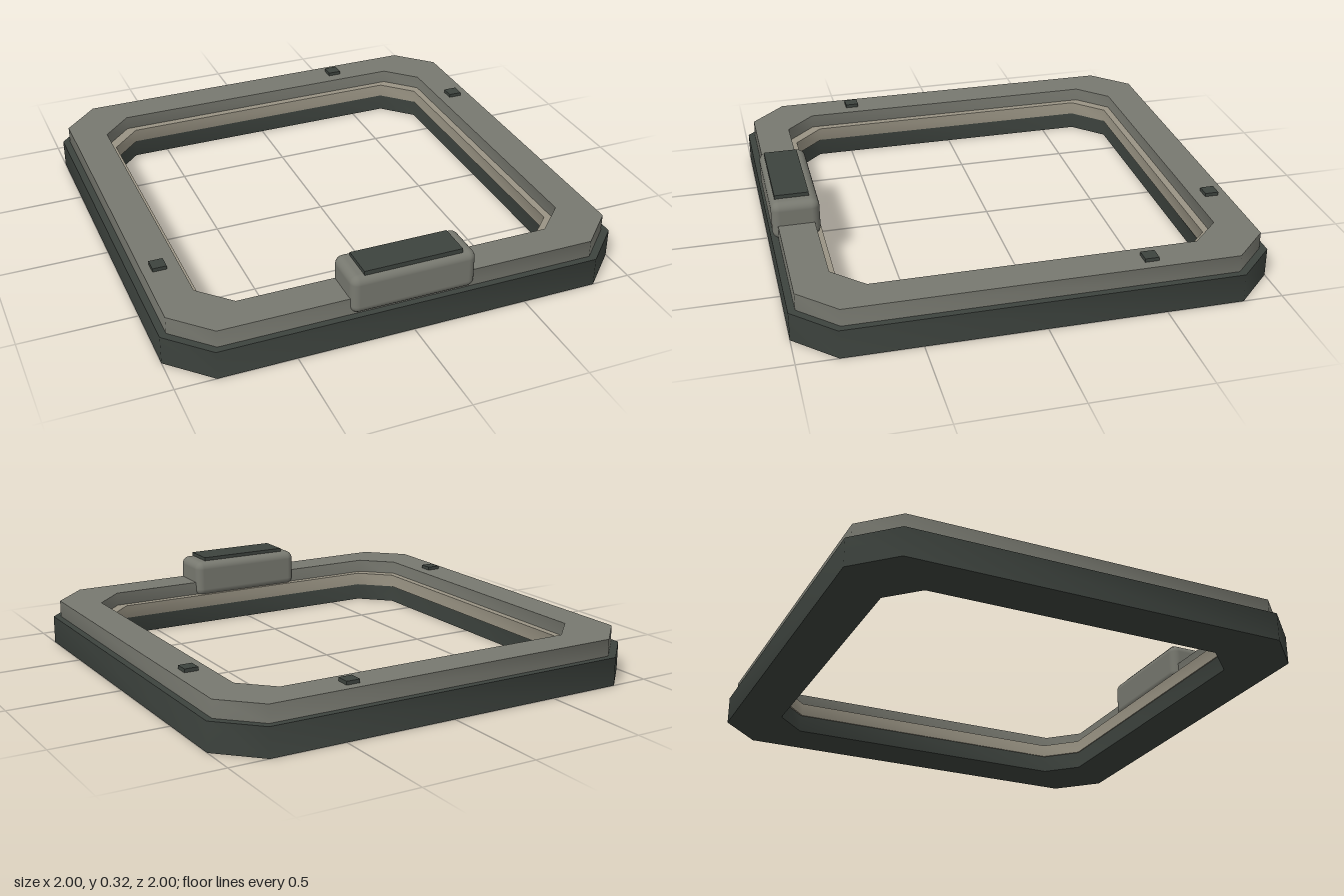
import * as THREE from 'three';
import { toCreasedNormals } from 'three/addons/utils/BufferGeometryUtils.js';
import { RoundedBoxGeometry } from 'three/addons/geometries/RoundedBoxGeometry.js';

const dark = new THREE.MeshStandardMaterial({ color: 0x3d433e });
const grey = new THREE.MeshStandardMaterial({ color: 0x787970 });
const beige = new THREE.MeshStandardMaterial({ color: 0x9a9484 });

// Square outline of half-width r with corners cut by c
function octagon(r, c) {
  const k = r - c;
  return [[k, -r], [r, -k], [r, k], [k, r], [-k, r], [-r, k], [-r, -k], [-k, -r]]
    .map(([x, y]) => new THREE.Vector2(x, y));
}

// Flat ring between two cut-corner outlines, standing from y0 to y1
function ring(name, outer, outerCut, inner, innerCut, y0, y1, material) {
  const shape = new THREE.Shape(octagon(outer, outerCut));
  shape.holes.push(new THREE.Path(octagon(inner, innerCut).reverse()));
  const geo = new THREE.ExtrudeGeometry(shape, { depth: y1 - y0, bevelEnabled: false });
  geo.rotateX(-Math.PI / 2).translate(0, y0, 0);
  const mesh = new THREE.Mesh(toCreasedNormals(geo, 0.9), material);
  mesh.name = name;
  return mesh;
}

function block(name, geo, x, y, z, material) {
  const mesh = new THREE.Mesh(geo, material);
  mesh.position.set(x, y, z);
  mesh.name = name;
  return mesh;
}

export function createModel() {
  const model = new THREE.Group();
  model.name = 'squareFrame';

  // Stacked frame rings
  model.add(
    ring('baseRing', 1, 0.17, 0.788, 0.13, 0, 0.125, dark),
    ring('upperRing', 0.97, 0.155, 0.815, 0.13, 0.125, 0.2, grey),
    ring('innerLip', 0.83, 0.14, 0.783, 0.13, 0.08, 0.14, beige)
  );

  // Rounded housing on the front rail with its cover plate
  model.add(
    block('housing', new RoundedBoxGeometry(0.54, 0.17, 0.205, 4, 0.035), 0, 0.215, 0.891, grey),
    block('housingPlate', new THREE.BoxGeometry(0.425, 0.02, 0.145), 0, 0.306, 0.9, dark)
  );

  // Small square pads on the other rails
  const pad = new THREE.BoxGeometry(0.06, 0.025, 0.06);
  for (const [x, z] of [[0.43, -0.9], [0.895, -0.45], [-0.9, 0.475]]) {
    model.add(block('pad', pad, x, 0.203, z, dark));
  }
  return model;
}
